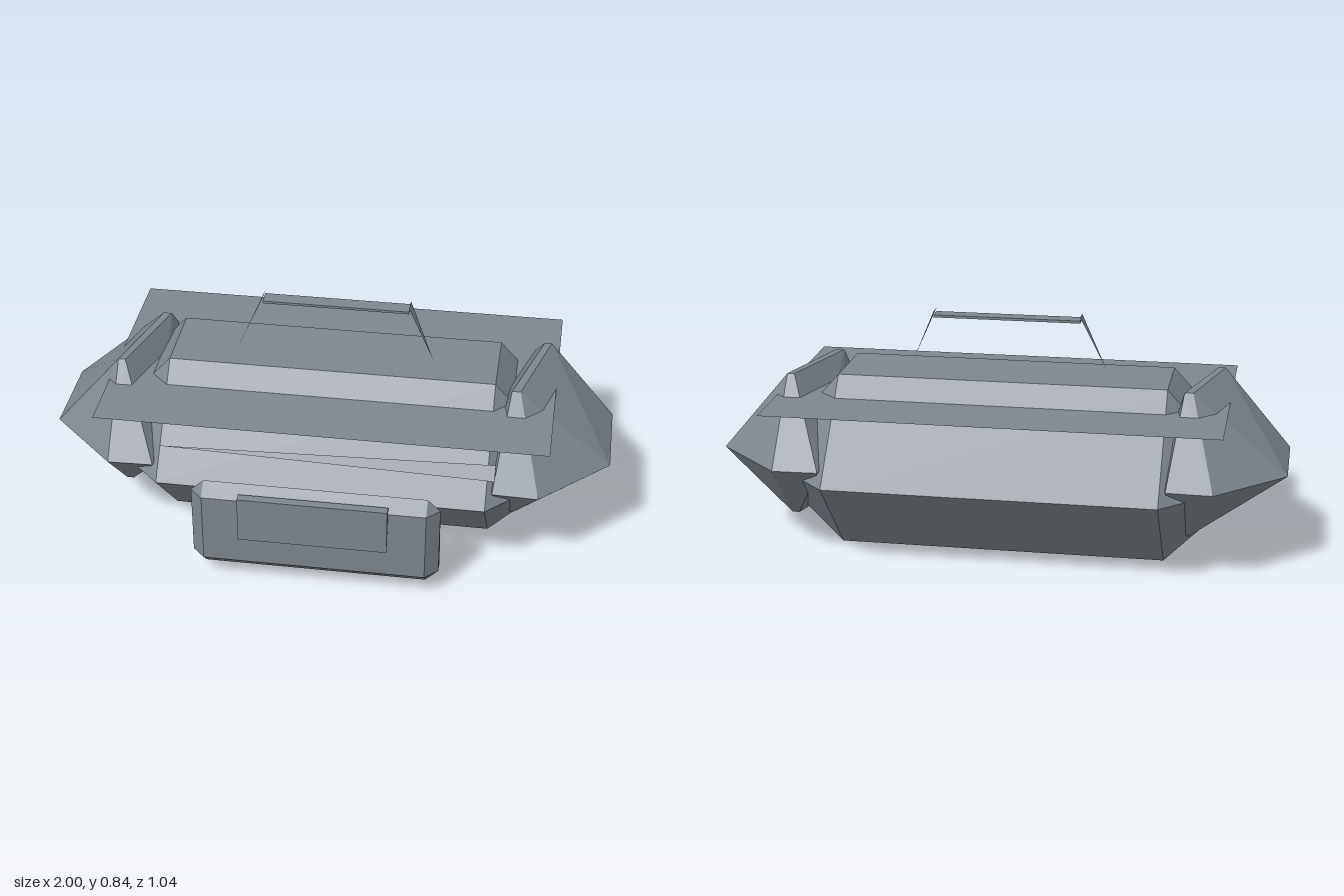
import * as THREE from 'three';
import { ConvexGeometry } from 'three/addons/geometries/ConvexGeometry.js';

const steel = new THREE.MeshStandardMaterial({ color: 0x7d868e, side: THREE.DoubleSide });
steel.name = 'steel grey';

const MID_Z = -0.07;

// Faceted solid around a handful of corner points
function facet(name, corners) {
  const mesh = new THREE.Mesh(new ConvexGeometry(corners.map(c => new THREE.Vector3(...c))), steel);
  mesh.name = name;
  return mesh;
}

// Corners of a rectangle at one height
function rect(y, x0, x1, z0, z1) {
  return [[x0, y, z0], [x1, y, z0], [x1, y, z1], [x0, y, z1]];
}

// Corners of a rectangle grown by g with chamfered corners
function octagon(y, x0, x1, z0, z1, g) {
  return [...rect(y, x0 - g, x1 + g, z0, z1), ...rect(y, x0, x1, z0 - g, z1 + g)];
}

// Single flat triangle
function triangle(name, corners) {
  const geometry = new THREE.BufferGeometry();
  geometry.setAttribute('position', new THREE.Float32BufferAttribute(corners.flat(), 3));
  geometry.computeVertexNormals();
  const mesh = new THREE.Mesh(geometry, steel);
  mesh.name = name;
  return mesh;
}

export function createModel() {
  const model = new THREE.Group();
  model.name = 'facetedVessel';

  // Main hull: flat top and floor, widest at the waist
  model.add(facet('hull', [
    ...rect(0, -0.58, 0.58, -0.21, 0.07),
    ...octagon(0.3, -0.58, 0.58, -0.21, 0.07, 0.297),
    ...rect(0.63, -0.58, 0.58, -0.215, 0.065),
  ]));

  // Thin deck sheet cutting through the hull just below its top
  const deck = new THREE.Mesh(new THREE.PlaneGeometry(1.58, 0.892), steel);
  deck.name = 'deckSheet';
  deck.rotation.x = -Math.PI / 2;
  deck.position.set(0, 0.56, -0.074);
  model.add(deck);

  // End pods: slanted ridges above and below a wide waist, turned half round for the other end
  const ridge = y => [[0.64, y, 0.1], [0.67, y, 0.1], [0.76, y, -0.235], [0.735, y, -0.235]];
  for (const side of ['left', 'right']) {
    const pod = new THREE.Group();
    pod.name = side + 'Pod';
    pod.position.z = MID_Z;
    const shell = facet('podShell', [
      ...ridge(0.63),
      [1, 0.345, 0.09], [0.76, 0.345, 0.33], [0.6, 0.345, 0.325],
      [0.56, 0.345, 0.1], [0.56, 0.345, -0.235],
      [0.6, 0.345, -0.465], [0.76, 0.345, -0.47], [1, 0.345, -0.235],
      ...ridge(0.11),
    ]);
    shell.position.z = -MID_Z;
    pod.add(shell);
    if (side === 'right') pod.rotation.y = Math.PI;
    model.add(pod);
  }

  // Front panel: chamfered slab with a skewed back
  const slab = [[0.39, 0.085, 0.355], [-0.39, 0.085, 0.4], [0.39, 0.34, 0.4], [-0.39, 0.34, 0.4]];
  for (const s of [-1, 1]) {
    slab.push(
      [s * 0.39, 0.085, 0.49], [s * 0.39, 0.345, 0.49],
      [s * 0.435, 0.085, 0.445], [s * 0.435, 0.345, 0.445],
      [s * 0.39, 0.04, 0.445], [s * 0.39, 0.388, 0.445],
      [s * 0.39, 0.04, 0.402], [s * 0.435, 0.085, 0.402],
    );
  }
  model.add(facet('frontPanel', slab));

  // Wedge plate in front of the panel
  model.add(facet('frontWedge', [
    ...rect(0.37, -0.26, 0.26, 0.485, 0.517),
    [-0.26, 0.2, 0.517], [0.26, 0.2, 0.517],
  ]));

  // Long tapered sliver above the panel
  model.add(facet('frontSliver', [
    [0.61, 0.457, 0.402], [0.61, 0.457, 0.355], [0.61, 0.492, 0.355], [-0.58, 0.457, 0.36],
  ]));

  // Handle floating over the top: thin bar and two pointed fins
  const bar = new THREE.Mesh(new THREE.BoxGeometry(0.52, 0.009, 0.055), steel);
  bar.name = 'handleBar';
  bar.position.set(0, 0.825, -0.073);
  model.add(bar);
  for (const s of [-1, 1]) {
    model.add(triangle(s > 0 ? 'leftFin' : 'rightFin', [
      [s * 0.26, 0.842, -0.045 - (s < 0 ? 0.055 : 0)],
      [s * 0.35, 0.64, -0.045],
      [s * 0.26, 0.842, -0.045 - (s > 0 ? 0.055 : 0)],
    ]));
  }

  return model;
}
